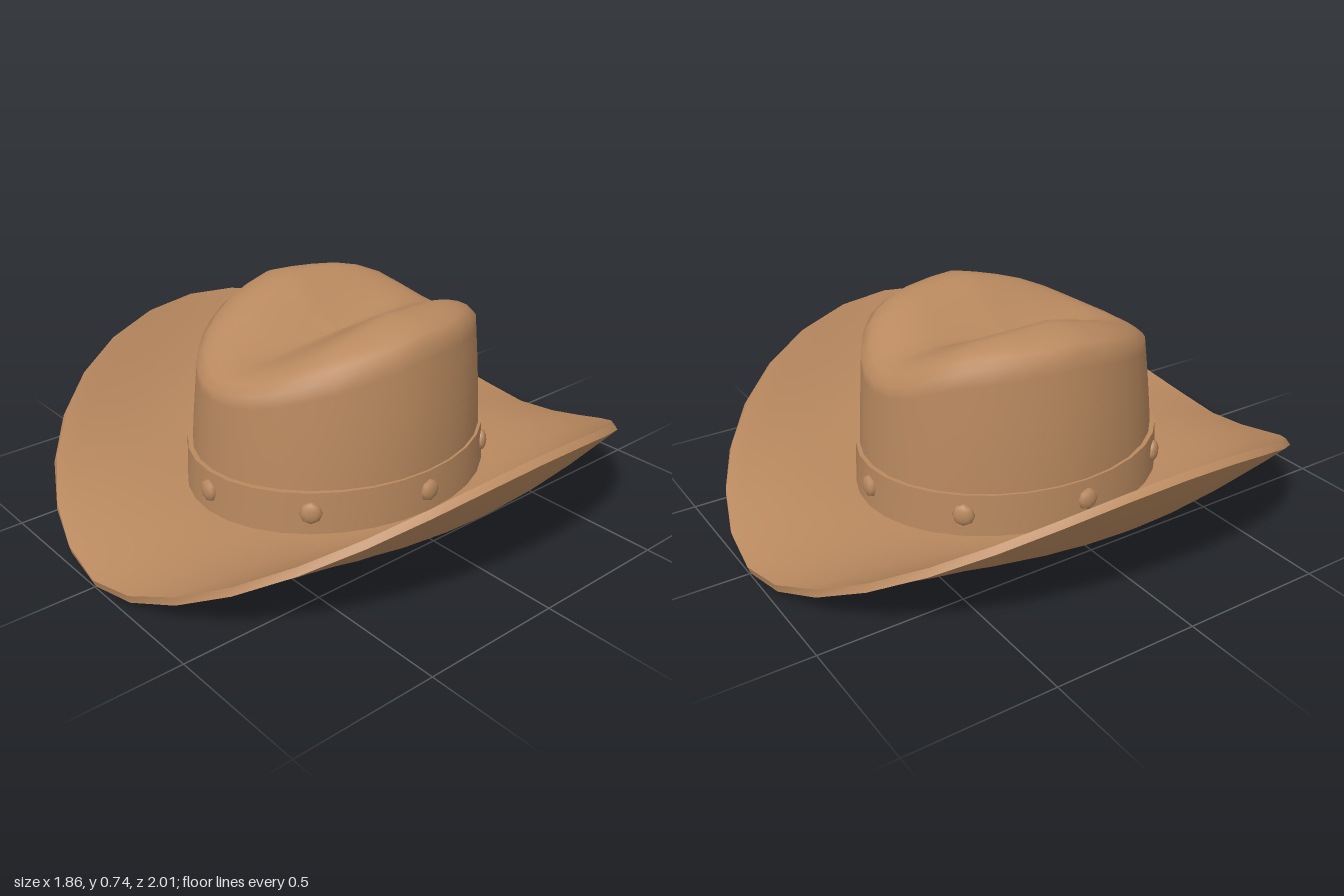
import * as THREE from 'three';

const SEG = 32;
const lerp = THREE.MathUtils.lerp;

// Closed loops joined into a smooth surface; rows run upward on outer walls
function loft(rows, point) {
  const pos = [], index = [];
  for (let i = 0; i < rows; i++)
    for (let j = 0; j < SEG; j++) {
      const p = point(i / (rows - 1), (j / SEG) * Math.PI * 2);
      pos.push(p[0], p[1], p[2]);
    }
  for (let i = 0; i < rows - 1; i++)
    for (let j = 0; j < SEG; j++) {
      const k = (j + 1) % SEG;
      const a = i * SEG + j, b = i * SEG + k, c = a + SEG, d = b + SEG;
      index.push(a, b, d, a, d, c);
    }
  const g = new THREE.BufferGeometry();
  g.setAttribute('position', new THREE.Float32BufferAttribute(pos, 3));
  g.setIndex(index);
  g.computeVertexNormals();
  return g;
}

// Linear interpolation through [z, y] pairs
function along(points, z) {
  if (z <= points[0][0]) return points[0][1];
  for (let i = 1; i < points.length; i++) {
    const [z0, y0] = points[i - 1], [z1, y1] = points[i];
    if (z <= z1) return lerp(y0, y1, (z - z0) / (z1 - z0));
  }
  return points[points.length - 1][1];
}

// Brim: flat at the crown, curling up at the sides and dipping front and back
function brimPoint(t, a, thickness) {
  const s = Math.sin(a), c = Math.cos(a);
  const rise = 0.47 * Math.pow(Math.abs(s), 1.7) - 0.08;
  const bulge = 1 + 0.02 * t * Math.sin(2 * a) ** 2;
  const slope = (2 * t * rise) / 0.47;
  const k = thickness / Math.hypot(1, slope);
  return [
    (lerp(0.455, 0.93, t) * bulge - k * slope) * s,
    0.08 + rise * t * t + k,
    (lerp(0.54, 0.996, t) * bulge - k * slope) * c,
  ];
}

// Crown top: two ridges with a pinched valley between them
const RIDGE = [[-0.52, 0.64], [-0.4, 0.71], [-0.25, 0.735], [0, 0.745], [0.2, 0.7], [0.45, 0.625], [0.52, 0.605]];
const VALLEY = [[-0.52, 0.615], [-0.3, 0.63], [0, 0.605], [0.3, 0.585], [0.52, 0.59]];

function crownTop(s, a) {
  const c = Math.cos(a);
  const pinch = 1 - 0.13 * Math.max(0, c) ** 2;
  const x = 0.425 * s * pinch * Math.sin(a), z = 0.52 * s * c;
  const u = Math.min(1, Math.abs(x) / 0.26);
  const f = 0.5 * u + 0.5 * u * u * (3 - 2 * u);
  const y = lerp(along(VALLEY, z), along(RIDGE, z), f) - 0.055 * Math.pow(s, 8);
  return [x, y, z];
}

const WALL = 0.5;
function crownPoint(v, a) {
  if (v > WALL) return crownTop(Math.pow(1 - (v - WALL) / (1 - WALL), 0.75), a);
  const t = v / WALL;
  const [x, y, z] = crownTop(1, a);
  const bow = 0.012 * Math.sin(t * Math.PI);
  return [
    lerp(0.462 * Math.sin(a), x, t) + bow * Math.sin(a),
    lerp(0.08, y, t),
    lerp(0.548 * Math.cos(a), z, t),
  ];
}

export function createModel() {
  const felt = new THREE.MeshStandardMaterial({ color: 0xb9895f, side: THREE.DoubleSide });
  felt.name = 'tan felt';

  const hat = new THREE.Group();
  hat.name = 'hat';
  const add = (parent, name, geometry) => {
    const m = new THREE.Mesh(geometry, felt);
    m.name = name;
    parent.add(m);
    return m;
  };

  // Brim, with separate faces so the rim edge stays crisp
  const brim = new THREE.Group();
  brim.name = 'brim';
  const T = 0.028;
  add(brim, 'brimUnderside', loft(10, (v, a) => brimPoint(v, a, 0)));
  add(brim, 'brimRim', loft(2, (v, a) => brimPoint(1, a, v * T)));
  add(brim, 'brimTop', loft(10, (v, a) => brimPoint(1 - v, a, T)));
  hat.add(brim);

  // Hollow crown, open below
  add(hat, 'crown', loft(25, crownPoint));

  // Hat band with a thin top edge
  const band = new THREE.Group();
  band.name = 'band';
  const ring = (rx, y, rz) => (a) => [rx * Math.sin(a), y, rz * Math.cos(a)];
  const bottom = ring(0.477, 0.095, 0.561);
  const top = ring(0.469, 0.255, 0.553);
  const inner = ring(0.44, 0.255, 0.52);
  add(band, 'bandWall', loft(2, (v, a) => (v ? top : bottom)(a)));
  add(band, 'bandEdge', loft(2, (v, a) => (v ? inner : top)(a)));
  hat.add(band);

  // Eight domed studs around the band
  const studGeometry = new THREE.SphereGeometry(0.04, 8, 6).rotateX(Math.PI / 2).scale(0.95, 1, 0.5);
  for (let i = 0; i < 8; i++) {
    const a = (i * Math.PI) / 4;
    const stud = add(hat, 'stud', studGeometry);
    stud.position.set(0.472 * Math.sin(a), 0.185, 0.556 * Math.cos(a));
    stud.rotation.y = Math.atan2(Math.sin(a) / 0.472, Math.cos(a) / 0.556);
  }
  return hat;
}
